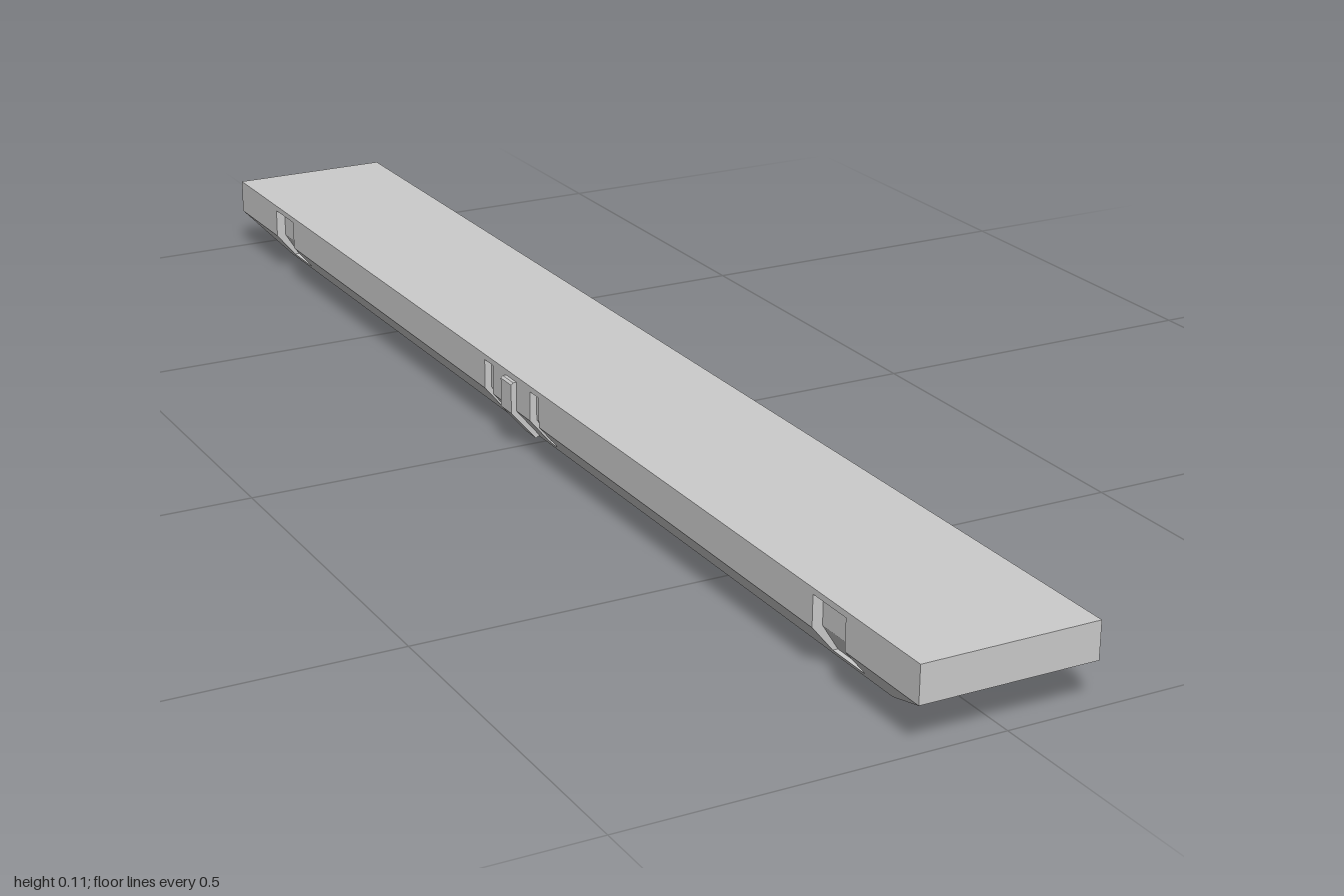
import * as THREE from 'three';

const MAT = new THREE.MeshStandardMaterial({ color: 0xcccccc });
const FLAT = new THREE.MeshStandardMaterial({ color: 0xcccccc, flatShading: true });

// Housing cross-section at z; d is the depth of a side notch, end collapses the sloped part
function section(z, d = 0, end = false) {
  const low = end
    ? [[0.12, 0.06], [0.12, 0.06], [0.12, 0.06]]
    : [[0.08, 0.012], [0.091, 0.025], [0.091 - d * 0.5, 0.025]];
  const half = [...low, [0.12 - d, 0.06], [0.12 - d, 0.102], [0.12, 0.102], [0.12, 0.11]];
  const mirrored = half.map(([x, y]) => [-x, y]).reverse();
  return [...half, ...mirrored].map(([x, y]) => [x, y, z]);
}

// Joins the sections in order, closing both ends
function loft(sections) {
  const n = sections[0].length, pos = [];
  const tri = (a, b, c) => pos.push(...a, ...b, ...c);
  for (let s = 0; s < sections.length - 1; s++) {
    const a = sections[s], b = sections[s + 1];
    for (let i = 0; i < n; i++) {
      const j = (i + 1) % n;
      tri(a[i], a[j], b[j]);
      tri(a[i], b[j], b[i]);
    }
  }
  const first = sections[0], last = sections[sections.length - 1];
  for (let i = 1; i < n - 1; i++) {
    tri(first[0], first[i + 1], first[i]);
    tri(last[0], last[i], last[i + 1]);
  }
  const geo = new THREE.BufferGeometry();
  geo.setAttribute('position', new THREE.Float32BufferAttribute(pos, 3));
  geo.computeVertexNormals();
  return geo;
}

export function createModel() {
  const group = new THREE.Group();
  const add = (name, geo, mat, parent = group) => {
    const mesh = new THREE.Mesh(geo, mat);
    mesh.name = name;
    parent.add(mesh);
    return mesh;
  };

  // Housing: sloped trough with wide end notches and narrow middle notches
  const sections = [section(-1, 0, true), section(-0.89)];
  for (const [z, w, d] of [[-0.815, 0.07, 0.014], [-0.07, 0.026, 0.01], [0.07, 0.026, 0.01], [0.815, 0.07, 0.014]]) {
    const a = z - w / 2, b = z + w / 2;
    sections.push(section(a), section(a, d), section(b, d), section(b));
  }
  sections.push(section(0.89), section(1, 0, true));
  add('housing', loft(sections), FLAT);

  // Two lamp tubes with rounded ends, half sunk into the underside
  for (const side of [-1, 1]) {
    const tube = add(side > 0 ? 'leftLamp' : 'rightLamp', new THREE.CapsuleGeometry(0.018, 1.53, 6, 20), MAT);
    tube.rotation.x = Math.PI / 2;
    tube.position.set(side * 0.03, 0.019, 0);
  }

  // Bent latch in the middle of each long side
  const strap = new THREE.Shape([
    [0.119, 0.102], [0.119, 0.06], [0.085, 0.019], [0.091, 0.015], [0.128, 0.058], [0.128, 0.099], [0.125, 0.102],
  ].map(([x, y]) => new THREE.Vector2(x, y)));
  const strapGeo = new THREE.ExtrudeGeometry(strap, { depth: 0.032, bevelEnabled: false }).translate(0, 0, -0.016);
  for (const side of [1, -1]) {
    const latch = new THREE.Group();
    latch.name = side > 0 ? 'leftLatch' : 'rightLatch';
    if (side < 0) latch.rotation.y = Math.PI;
    add('strap', strapGeo, FLAT, latch);
    group.add(latch);
  }
  return group;
}
